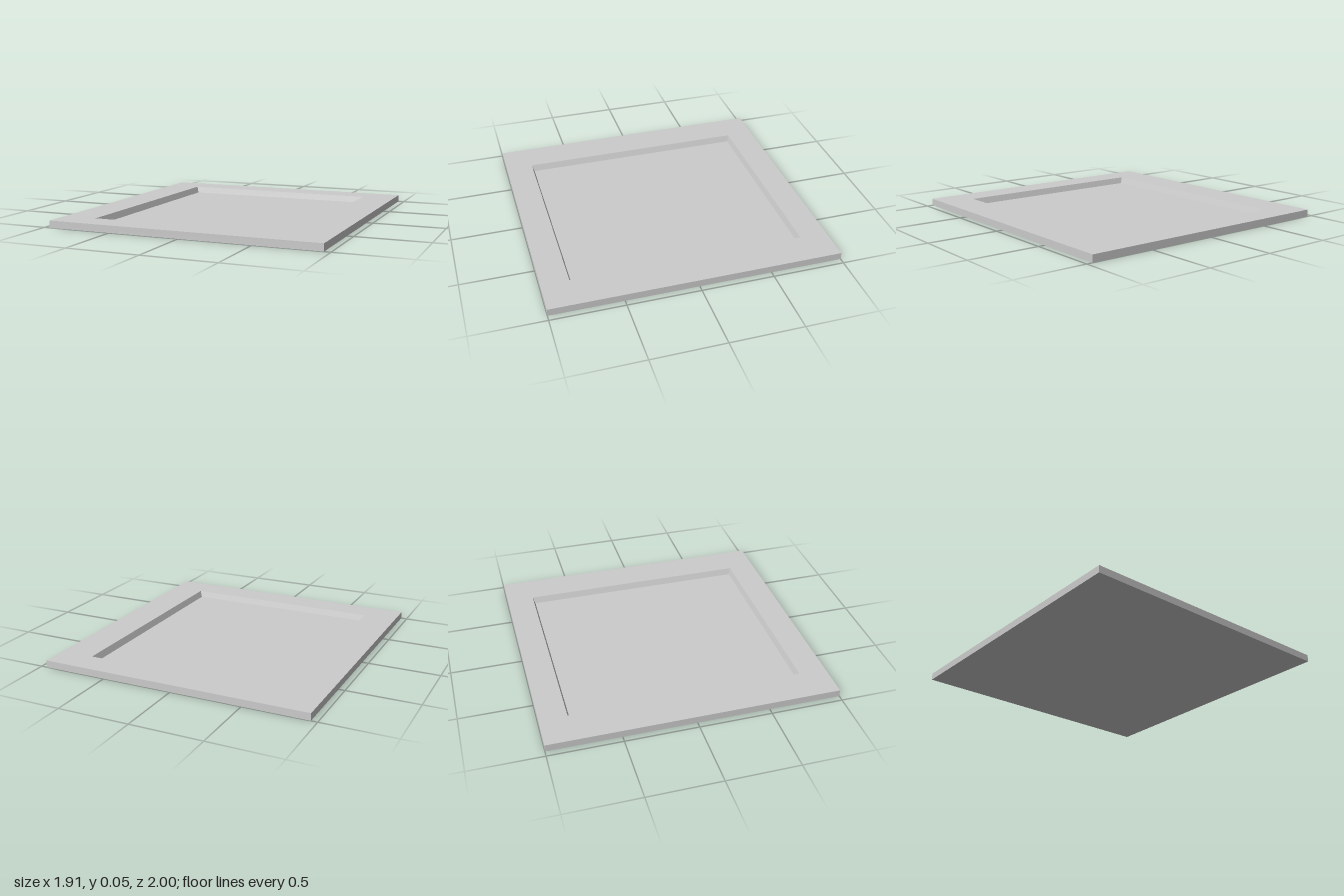
import * as THREE from 'three';

const material = new THREE.MeshStandardMaterial({ color: 0xcccccc, flatShading: true });

// Four corners of a horizontal rectangle, given as half width, height, half depth
const ring = ([x, y, z]) => [[x, y, z], [x, y, -z], [-x, y, -z], [-x, y, z]];

function meshFromQuads(name, quads) {
  const points = quads.flatMap(([a, b, c, d]) => [a, b, c, a, c, d]).flat();
  const geometry = new THREE.BufferGeometry();
  geometry.setAttribute('position', new THREE.Float32BufferAttribute(points, 3));
  geometry.computeVertexNormals();
  const mesh = new THREE.Mesh(geometry, material);
  mesh.name = name;
  return mesh;
}

export function createModel() {
  const group = new THREE.Group();
  group.name = 'recessedTray';

  // Section from the bottom edge over the rim and down the sloped recess wall
  const rings = [
    [0.957, 0, 1],
    [0.957, 0.05, 1],
    [0.717, 0.05, 0.808],
    [0.7, 0.005, 0.793],
  ].map(ring);

  const walls = [];
  for (let i = 0; i < rings.length - 1; i++) {
    for (let j = 0; j < 4; j++) {
      const k = (j + 1) % 4;
      walls.push([rings[i][j], rings[i][k], rings[i + 1][k], rings[i + 1][j]]);
    }
  }

  group.add(meshFromQuads('frame', walls));
  group.add(meshFromQuads('recessFloor', [rings[3]]));
  group.add(meshFromQuads('underside', [[...rings[0]].reverse()]));
  return group;
}
